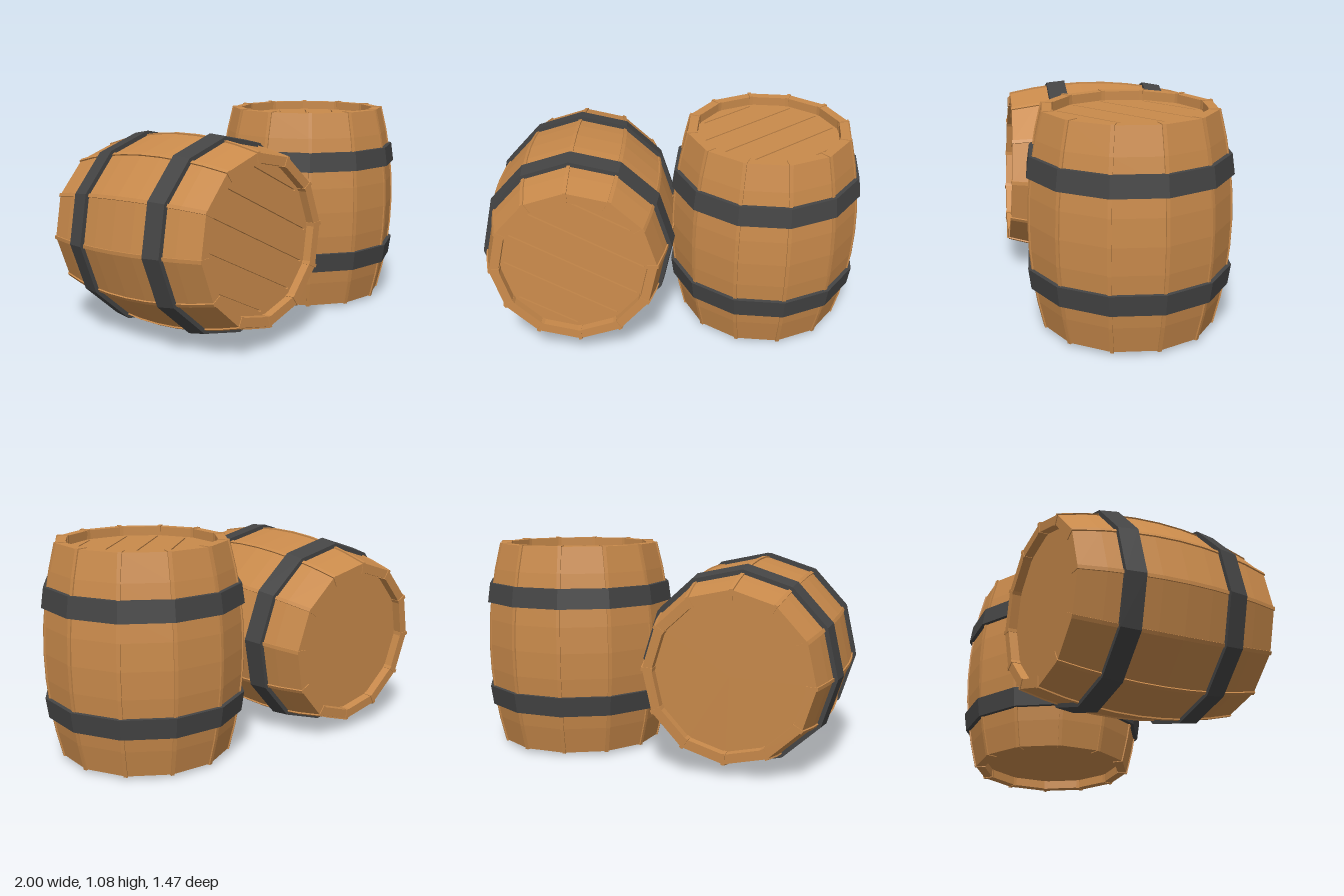
import * as THREE from 'three';

const SIDES = 12;
const HALF = 0.53;      // half of the barrel height
const RIM_IN = 0.375;   // inner radius of the rim
const RECESS = 0.045;   // depth of the heads below the rim
const BOARD = 0.015;    // thickness of the head boards

const wood = new THREE.MeshStandardMaterial({ color: 0xc98a4b, flatShading: true });
const iron = new THREE.MeshStandardMaterial({ color: 0x444444, flatShading: true });
const rad = THREE.MathUtils.degToRad;
const v2 = (x, y) => new THREE.Vector2(x, y);

// Bulging stave radius at height y from the middle
const bulge = (y) => 0.495 - 0.072 * (y / HALF) ** 2;

function named(name, geometry, material) {
  const mesh = new THREE.Mesh(geometry, material);
  mesh.name = name;
  return mesh;
}

// Points up the outside of the barrel, grown by an offset
function sidePoints(offset, half) {
  const pts = [];
  for (let i = 0; i <= 8; i++) {
    const y = -half + (2 * half * i) / 8;
    pts.push(v2(bulge(y) + offset, y));
  }
  return pts;
}

function bodyGeometry() {
  const low = -HALF + RECESS, high = HALF - RECESS - BOARD;
  return new THREE.LatheGeometry([
    v2(0, low), v2(RIM_IN, low), v2(RIM_IN, -HALF),
    ...sidePoints(0, HALF),
    v2(RIM_IN, HALF), v2(RIM_IN, high), v2(0, high),
  ], SIDES);
}

// Thin strip covering a joint between two staves, wrapped over both rims
function jointGeometry() {
  const half = HALF + 0.004, inner = RIM_IN - 0.005, width = 0.018;
  const shape = new THREE.Shape([v2(inner, -half), ...sidePoints(0.005, half), v2(inner, half)]);
  const geo = new THREE.ExtrudeGeometry(shape, { depth: width, bevelEnabled: false });
  return geo.translate(0, 0, -width / 2);
}

function hoopGeometry(y0, y1) {
  const inner = 0.45, t = 0.021;
  return new THREE.LatheGeometry([
    v2(inner, y0), v2(bulge(y0) + t, y0), v2(bulge(y1) + t, y1), v2(inner, y1),
  ], SIDES);
}

// Head of boards separated by narrow diagonal slots
function headGeometry() {
  const corners = [];
  for (let i = 0; i < SIDES; i++) {
    const a = (i / SIDES) * Math.PI * 2;
    corners.push(v2(RIM_IN * Math.cos(a), RIM_IN * Math.sin(a)));
  }
  const shape = new THREE.Shape(corners);
  const along = v2(0.5, 0.866), across = v2(0.866, -0.5);
  for (let i = -2; i <= 2; i++) {
    const d = i * 0.155, w = 0.004;
    const len = Math.sqrt(0.355 ** 2 - (Math.abs(d) + w) ** 2);
    const at = (s, o) => v2(0, 0).addScaledVector(along, s).addScaledVector(across, d + o);
    shape.holes.push(new THREE.Path([at(-len, -w), at(len, -w), at(len, w), at(-len, w)]));
  }
  const geo = new THREE.ExtrudeGeometry(shape, { depth: BOARD, bevelEnabled: false });
  return geo.rotateX(-Math.PI / 2).translate(0, HALF - RECESS - BOARD, 0);
}

function makeBarrel(name) {
  const barrel = new THREE.Group();
  barrel.name = name;
  barrel.add(named('staves', bodyGeometry(), wood));
  barrel.add(named('plankHead', headGeometry(), wood));

  const joint = jointGeometry();
  for (let i = 0; i < SIDES; i++) {
    const strip = named('staveJoint', joint, wood);
    strip.rotation.y = (i / SIDES) * Math.PI * 2;
    barrel.add(strip);
  }

  barrel.add(named('upperHoop', hoopGeometry(0.225, 0.325), iron));
  barrel.add(named('lowerHoop', hoopGeometry(-0.325, -0.225), iron));
  return barrel;
}

export function createModel() {
  const model = new THREE.Group();
  model.name = 'barrels';

  const standing = makeBarrel('standingBarrel');
  standing.position.set(0.49, 0.552, -0.23);
  model.add(standing);

  // Lying barrel: rolled about its own axis, tipped over and turned
  const rolled = makeBarrel('lyingBarrelBody');
  rolled.rotation.y = rad(-87);
  const lying = new THREE.Group();
  lying.name = 'lyingBarrel';
  lying.rotation.set(rad(87.3), rad(19), 0, 'YXZ');
  lying.position.set(-0.43, 0.518, 0.09);
  lying.add(rolled);
  model.add(lying);

  return model;
}
